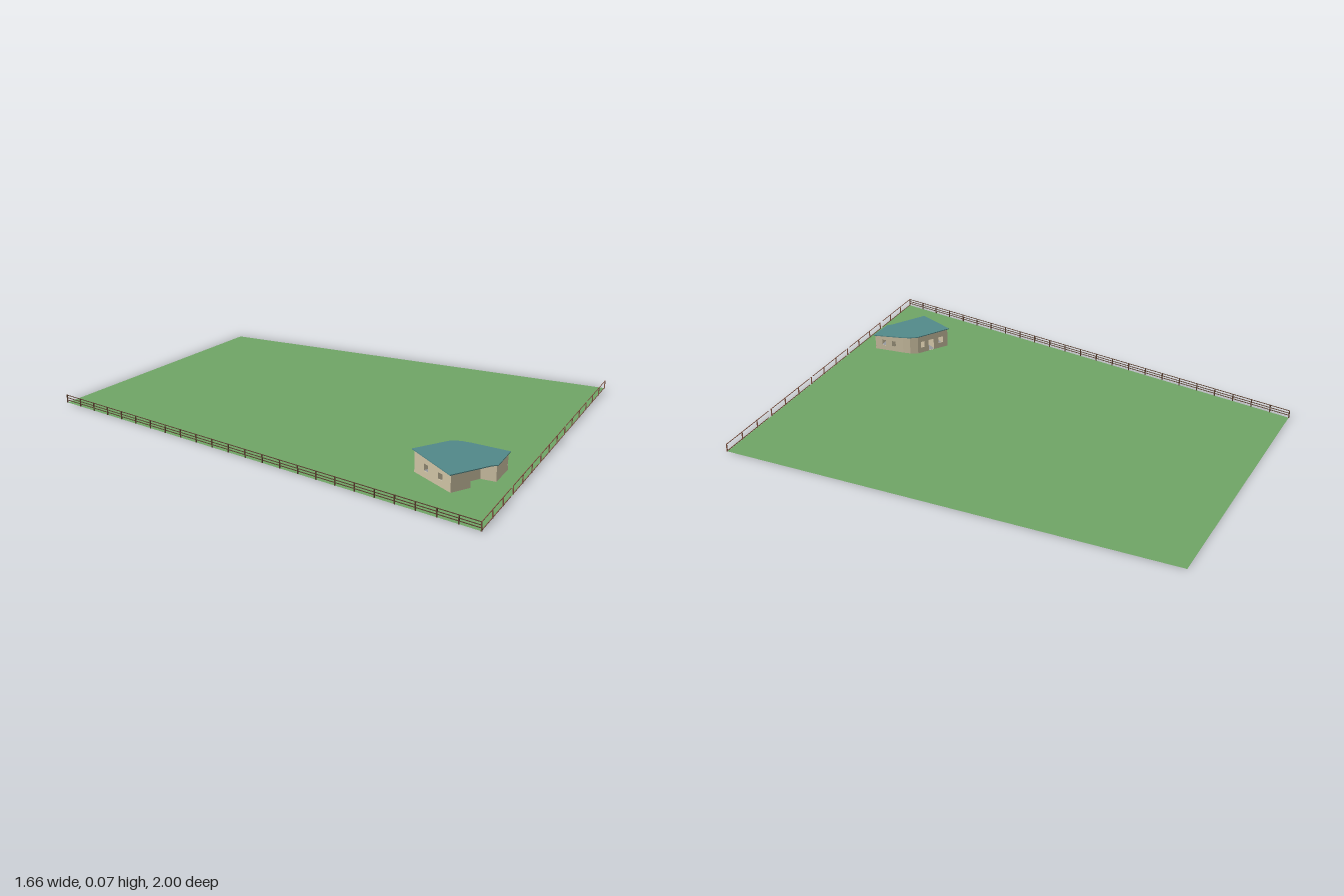
import * as THREE from 'three';

// lot corners and house outline as [x, z]
const LOT = [[-0.83, -0.545], [0.03, -1], [0.825, 0.277], [-0.25, 0.993]];
const ROOF = [[-0.18, 0.57], [-0.045, 0.57], [-0.02, 0.585], [0, 0.607], [0.07, 0.703],
  [-0.02, 0.762], [-0.035, 0.756], [-0.18, 0.756]];
const HOUSE = [[-0.175, 0.575], [-0.047, 0.575], [-0.022, 0.59], [-0.004, 0.612], [0.063, 0.702],
  [-0.02, 0.756], [-0.045, 0.715], [-0.108, 0.715], [-0.108, 0.753], [-0.175, 0.753]];

const roofY = (x, z) => 0.05 + 0.085 * (0.76 - z) - 0.015 * (x + 0.05);
const plan = pts => pts.map(([x, z]) => new THREE.Vector2(x, -z));

function mat(name, color, side = THREE.FrontSide) {
  const m = new THREE.MeshStandardMaterial({ color, side });
  m.name = name;
  return m;
}

export function createModel() {
  const grass = mat('grass green', 0x70a566, THREE.DoubleSide);
  const teal = mat('roof teal', 0x52898a, THREE.DoubleSide);
  const plaster = mat('wall cream', 0xcfc3a5, THREE.DoubleSide);
  const brown = mat('fence dark brown', 0x5a4030);
  const red = mat('fence red brown', 0x8a5a48);

  const model = new THREE.Group();
  model.name = 'houseOnLot';
  const add = (parent, name, geo, material) => {
    const mesh = new THREE.Mesh(geo, material);
    mesh.name = name;
    parent.add(mesh);
    return mesh;
  };
  const group = name => {
    const g = new THREE.Group();
    g.name = name;
    model.add(g);
    return g;
  };

  // flat lawn, open under the house
  const lot = new THREE.Shape(plan(LOT));
  lot.holes.push(new THREE.Path(plan(HOUSE)));
  add(model, 'lawn', new THREE.ShapeGeometry(lot).rotateX(-Math.PI / 2), grass);

  // sloping roof slab
  const slab = new THREE.ExtrudeGeometry(new THREE.Shape(plan(ROOF)), { depth: 0.003, bevelEnabled: false });
  slab.rotateX(-Math.PI / 2);
  const p = slab.attributes.position;
  for (let i = 0; i < p.count; i++) p.setY(i, p.getY(i) + roofY(p.getX(i), p.getZ(i)));
  slab.computeVertexNormals();
  add(model, 'roof', slab, teal);

  // upright wall from a to b, its top following the roof; openings are [from, to, sill, head]
  const house = group('house');
  function wall(name, a, b, openings = []) {
    const dx = b[0] - a[0], dz = b[1] - a[1], len = Math.hypot(dx, dz);
    const s = new THREE.Shape([
      new THREE.Vector2(0, 0), new THREE.Vector2(len, 0),
      new THREE.Vector2(len, roofY(...b)), new THREE.Vector2(0, roofY(...a))]);
    for (const [u, v, y0, y1] of openings) {
      s.holes.push(new THREE.Path([[u, y0], [u, y1], [v, y1], [v, y0]].map(q => new THREE.Vector2(...q))));
    }
    const mesh = add(house, name, new THREE.ExtrudeGeometry(s, { depth: 0.003, bevelEnabled: false }), plaster);
    mesh.position.set(a[0], 0, a[1]);
    mesh.rotation.y = Math.atan2(-dz, dx);
  }
  const openings = {
    0: [[0.06, 0.082, 0.0005, 0.043], [0.02, 0.04, 0.02, 0.043], [0.1, 0.115, 0.02, 0.043]],
    3: [[0.03, 0.045, 0.018, 0.04], [0.07, 0.085, 0.018, 0.04]],
    6: [[0.041, 0.06, 0.0005, 0.043]],
    9: [[0.04, 0.06, 0.02, 0.04], [0.11, 0.13, 0.02, 0.042]],
  };
  HOUSE.forEach((a, i) => wall('outerWall', a, HOUSE[(i + 1) % HOUSE.length], openings[i]));
  wall('innerWall', [-0.12, 0.575], [-0.12, 0.715], [[0.08, 0.1, 0.0005, 0.04]]);
  wall('innerWall', [-0.08, 0.575], [-0.08, 0.715], [[0.05, 0.07, 0.0005, 0.04]]);
  wall('innerWall', [-0.172, 0.66], [-0.12, 0.66]);
  wall('innerWall', [-0.08, 0.65], [0.02, 0.65], [[0.04, 0.06, 0.0005, 0.04]]);

  // fences: posts and level rails along the line from a to b
  function fence(name, a, b, posts, rails, panel, gap, material) {
    const g = group(name);
    const len = Math.hypot(b[0] - a[0], b[1] - a[1]);
    g.position.set(a[0], 0, a[1]);
    g.rotation.y = Math.atan2(a[1] - b[1], b[0] - a[0]);
    for (let i = 0; i <= posts; i++) {
      add(g, 'fencePost', new THREE.BoxGeometry(0.003, 0.027, 0.003).translate(len * i / posts, 0.0135, 0), material);
    }
    for (let u = 0; u < len - 0.01; u += panel + gap) {
      const l = Math.min(panel, len - u);
      for (const y of rails) {
        add(g, 'fenceRail', new THREE.BoxGeometry(l, 0.0022, 0.0015).translate(u + l / 2, y, 0), material);
      }
    }
  }
  fence('sideFence', LOT[3], LOT[0], 24, [0.009, 0.017, 0.026], 2, 0, brown);
  fence('frontFence', LOT[3], LOT[2], 15, [0.002, 0.026], 0.238, 0.025, red);

  return model;
}
